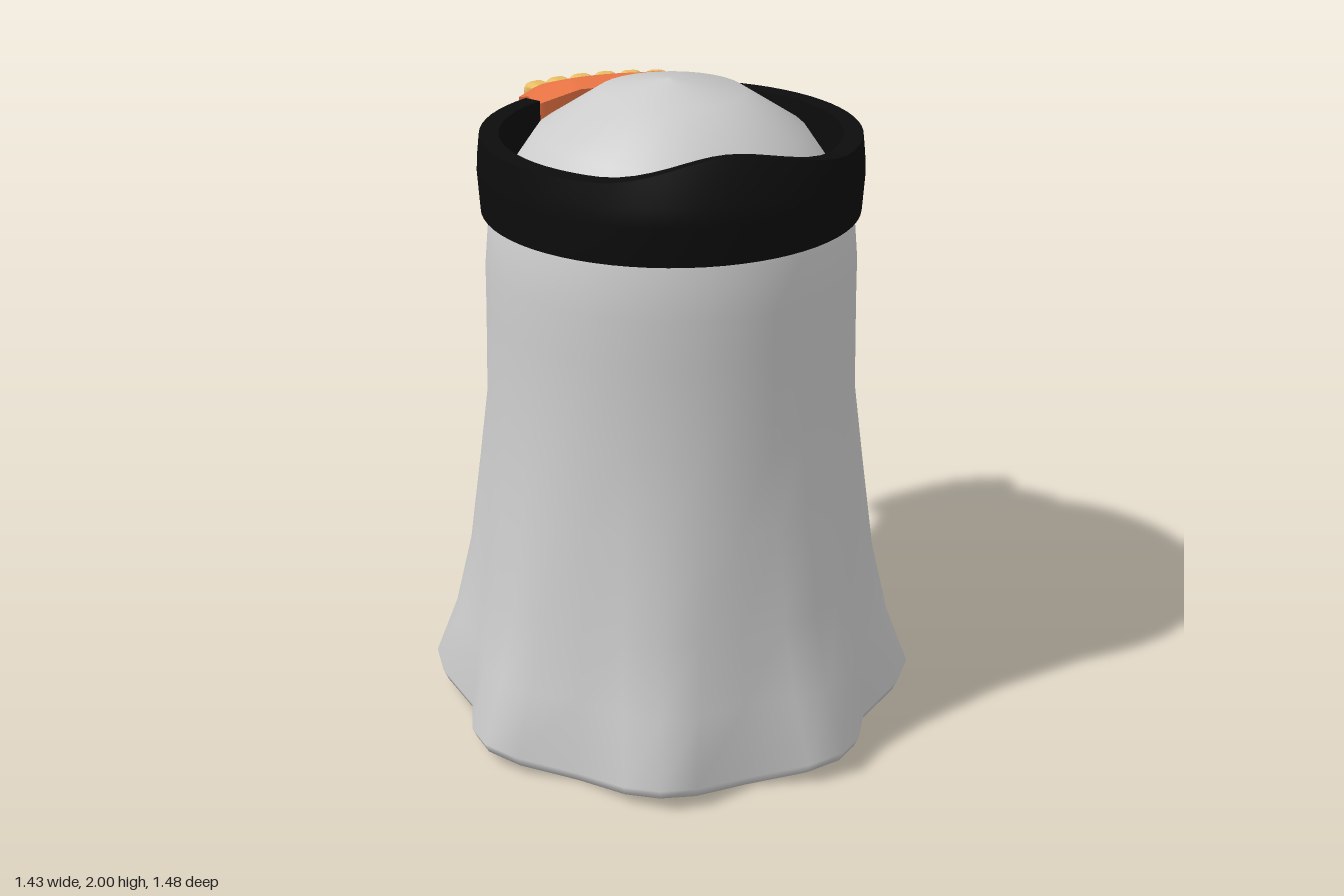
import * as THREE from 'three';
import { toCreasedNormals } from 'three/addons/utils/BufferGeometryUtils.js';
import { RoundedBoxGeometry } from 'three/addons/geometries/RoundedBoxGeometry.js';

const CZ = 0.03; // z of the body axis
const SEG = 32;
const rad = THREE.MathUtils.degToRad;
const polar = (r, a, y, cz = CZ) => [r * Math.sin(a), y, cz + r * Math.cos(a)];

function makeGeometry(points, index) {
  const g = new THREE.BufferGeometry();
  g.setAttribute('position', new THREE.Float32BufferAttribute(points.flat(), 3));
  g.setIndex(index);
  g.computeVertexNormals();
  return g;
}

function addMesh(parent, name, geometry, color, side = THREE.FrontSide) {
  const mesh = new THREE.Mesh(geometry, new THREE.MeshStandardMaterial({ color, side }));
  mesh.name = name;
  parent.add(mesh);
  return mesh;
}

// Skin a list of closed rings (outer bottom, up, inward, down) and cap both ends
function loft(rings, crease = 0.6) {
  const n = rings[0].length, last = (rings.length - 1) * n, index = [];
  for (let i = 0; i < rings.length - 1; i++) {
    for (let k = 0; k < n; k++) {
      const a = i * n + k, d = i * n + (k + 1) % n;
      index.push(a, a + n, d + n, a, d + n, d);
    }
  }
  for (let k = 1; k < n - 1; k++) index.push(0, k, k + 1, last, last + k + 1, last + k);
  return toCreasedNormals(makeGeometry(rings.flat(), index), crease);
}

// Outer wall rows from crown to hem: valley radius, height, fold depth, hem lift
const OUTER = [
  [0, 2, 0, 0], [0.215, 1.965, 0, 0], [0.395, 1.85, 0, 0], [0.512, 1.68, 0, 0],
  [0.54, 1.605, 0, 0], [0.553, 1.465, 0, 0], [0.555, 1.325, 0, 0],
  [0.562, 1.05, 0, 0], [0.583, 0.8, 0.012, 0], [0.607, 0.5, 0.03, 0],
  [0.637, 0.27, 0.055, 0], [0.668, 0.035, 0.097, 0.045]];
const INNER = OUTER.map(([r, y, f, l], j) => [Math.max(0, r - 0.03), j < 4 ? y - 0.03 : y, f, l]).reverse();
const ROWS = [...OUTER, [0.652, 0, 0.097, 0.045], ...INNER];
const EYE_ROW = 5, EYES = [SEG / 2 - 2, SEG / 2 + 2];

// Point of the sheet at column i, row j; nodes around an eye move onto an octagon
function sheetPoint(i, j) {
  const [r, y, fold, lift] = ROWS[j];
  const row = Math.min(j, ROWS.length - 1 - j) - EYE_ROW;
  const eye = EYES.find((e) => Math.abs(i - e) <= 1);
  if (eye !== undefined && Math.abs(row) <= 1) {
    const di = i - eye;
    const a = 180 + Math.sign(eye - SEG / 2) * 25.5 + di * 13.5 * (row ? 0.72 : 1);
    return polar(r, rad(a), 1.465 - row * 0.14 * (di ? 0.72 : 1));
  }
  // Eight folds, each with a blunt crest
  const wave = [0, 0.72, 1, 0.72][i % 4];
  const pull = [0, 3, 0, -3][i % 4] * fold / 0.1;
  return polar(r + fold * wave, rad(i * 360 / SEG + pull), y + lift * wave);
}

function sheetGeometry() {
  const points = [], index = [];
  ROWS.forEach((_, j) => {
    for (let i = 0; i < SEG; i++) points.push(sheetPoint(i, j));
  });
  for (let j = 0; j < ROWS.length - 1; j++) {
    const layerRow = Math.min(j, ROWS.length - 2 - j);
    for (let i = 0; i < SEG; i++) {
      const inEye = EYES.some((e) => i === e - 1 || i === e);
      if (inEye && (layerRow === EYE_ROW - 1 || layerRow === EYE_ROW)) continue;
      const a = j * SEG + i, b = j * SEG + (i + 1) % SEG, c = b + SEG, d = a + SEG;
      index.push(d, c, b, d, b, a);
    }
  }
  return makeGeometry(points, index);
}

// Wall thickness around an eye hole
function eyeRimGeometry(eye) {
  const loop = [[-1, -1], [0, -1], [1, -1], [1, 0], [1, 1], [0, 1], [-1, 1], [-1, 0]];
  const points = [], index = [];
  loop.forEach(([di, dj], k) => {
    const j = EYE_ROW + dj;
    points.push(sheetPoint(eye + di, j), sheetPoint(eye + di, ROWS.length - 1 - j));
    const a = 2 * k, b = 2 * ((k + 1) % 8);
    index.push(a, b, b + 1, a, b + 1, a + 1);
  });
  return toCreasedNormals(makeGeometry(points, index), 0.3);
}

// Headband, open at the back, rising and leaning inward at the front
function bandGeometry() {
  const rings = [], n = 56, end = rad(147);
  for (let i = 0; i <= n; i++) {
    const a = -end + 2 * end * i / n;
    const t = Math.min(1, Math.abs(a) / rad(44));
    const w = 0.5 + 0.5 * Math.cos(Math.PI * t);
    rings.push([
      polar(0.56, a, 1.625), polar(0.567, a, 1.74), polar(0.564, a, 1.79),
      polar(0.557 - 0.075 * w, a, 1.85 + 0.055 * w),
      polar(0.5 - 0.07 * w, a, 1.85 + 0.045 * w), polar(0.5, a, 1.625)]);
  }
  return loft(rings);
}

// Bulging block that closes the band at the back
function mountGeometry() {
  const rings = [], n = 20;
  for (let i = 0; i <= n; i++) {
    const u = -1 + 2 * i / n, s = Math.abs(u);
    const a = Math.PI + u * rad(33);
    const w = Math.min(1, (1 - s) / 0.5);
    const k = Math.min(1, (1 - s) / 0.25);
    const x = -u * (0.32 - 0.02 * k);
    const z = s > 0.75 ? -0.455 - 0.145 * k : -0.655 + 0.055 * (s / 0.75) ** 2;
    const crown = 1.85 + 0.035 * w;
    const innerX = -u * 0.275;
    rings.push([
      [x, 1.625, z + 0.02 * k], [x, 1.70, z], [x, 1.80, z], [x, 1.85, z + 0.03 * k],
      [-u * 0.29, crown, -0.45 - 0.03 * w], [innerX, crown - 0.015, -0.405],
      polar(0.5, a, 1.625)]);
  }
  return loft(rings, 0.7);
}

export function createModel() {
  const model = new THREE.Group();
  model.name = 'sheetCostume';
  const grey = 0xcccccc, black = 0x0c0c0c, orange = 0xe87344, gold = 0xe6bb62;

  addMesh(model, 'sheet', sheetGeometry(), grey);
  EYES.forEach((e, i) => addMesh(model, i ? 'rightEyeRim' : 'leftEyeRim', eyeRimGeometry(e), grey, THREE.DoubleSide));
  addMesh(model, 'headband', bandGeometry(), black);
  addMesh(model, 'backMount', mountGeometry(), orange);

  // Two rows of rounded kernels on a curved plate
  const kernels = new THREE.Group();
  kernels.name = 'kernels';
  model.add(kernels);
  const cz = -0.15, plate = [];
  for (let i = 0; i <= 12; i++) {
    const a = Math.PI + rad(-26 + 52 * i / 12);
    plate.push([polar(0.55, a, 1.645, cz), polar(0.55, a, 1.825, cz), polar(0.47, a, 1.825, cz), polar(0.47, a, 1.645, cz)]);
  }
  addMesh(kernels, 'kernelPlate', loft(plate), gold);
  const kernel = new RoundedBoxGeometry(0.08, 0.1, 0.09, 3, 0.028);
  for (const y of [1.683, 1.787]) {
    for (let i = 0; i < 6; i++) {
      const a = Math.PI + rad((i - 2.5) * 8.6);
      const m = addMesh(kernels, 'kernel', kernel, gold);
      m.position.set(...polar(0.54, a, y, cz));
      m.rotation.y = a;
    }
  }
  return model;
}
